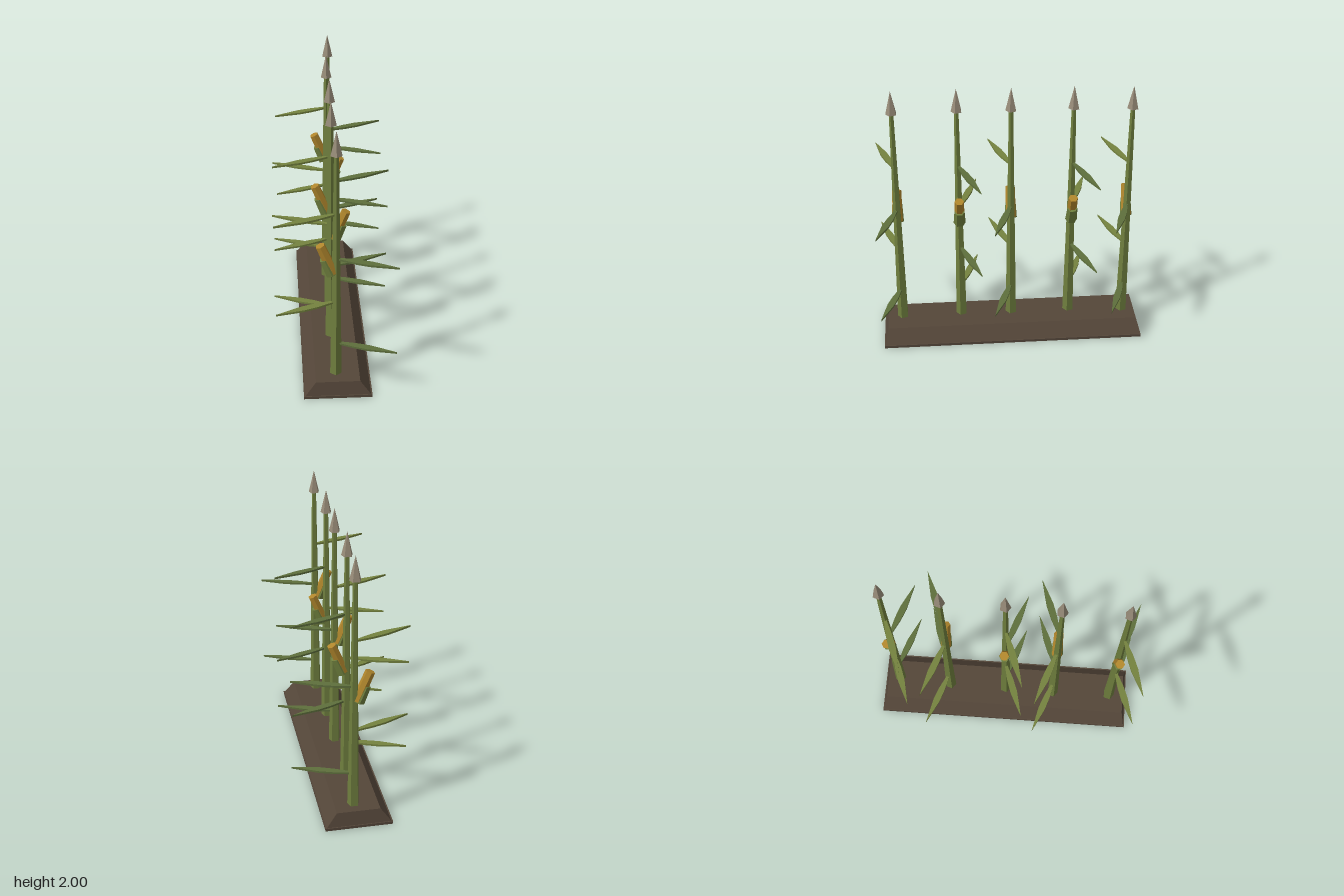
import * as THREE from 'three';

const mat = (name, color) => Object.assign(new THREE.MeshStandardMaterial({ color, flatShading: true }), { name });
const soil = mat('soil', 0x544639);
const stalkGreen = mat('stalk green', 0x6f7f3e);
const leafLight = mat('light leaf green', 0x74823f);
const leafDark = mat('dark leaf green', 0x5e6f3c);
const gold = mat('kernel gold', 0xb0862c);
const tan = mat('tassel tan', 0x978b78);

function add(parent, name, geometry, material, x = 0, y = 0, z = 0) {
  const mesh = new THREE.Mesh(geometry, material);
  mesh.name = name;
  mesh.position.set(x, y, z);
  parent.add(mesh);
  return mesh;
}

// Flat pointed blade lying along +x, centred on its thickness
function leafGeometry() {
  const half = [[0, 0.007], [0.14, 0.023], [0.24, 0.025], [0.33, 0.014], [0.435, 0]];
  const outline = [...half.map(([x, w]) => [x, -w]), ...half.slice(0, -1).reverse()];
  const shape = new THREE.Shape(outline.map(([x, y]) => new THREE.Vector2(x, y)));
  return new THREE.ExtrudeGeometry(shape, { depth: 0.014, bevelEnabled: false })
    .translate(0, 0, -0.007)
    .rotateX(-Math.PI / 2);
}

// Box whose top face is pulled inwards
function moundGeometry() {
  const g = new THREE.BoxGeometry(0.46, 0.1, 1.935);
  const p = g.attributes.position;
  for (let i = 0; i < p.count; i++) {
    if (p.getY(i) > 0) p.setXYZ(i, Math.sign(p.getX(i)) * 0.155, p.getY(i), Math.sign(p.getZ(i)) * 0.945);
  }
  g.computeVertexNormals();
  return g;
}

export function createModel() {
  const model = new THREE.Group();
  model.name = 'cornRow';

  // Soil bed
  add(model, 'bedLip', new THREE.BoxGeometry(0.48, 0.02, 1.95), soil, 0, 0.01, 0);
  add(model, 'bedMound', moundGeometry(), soil, 0, 0.07, 0);

  const stalk = new THREE.CylinderGeometry(0.017, 0.043, 1.74, 5);
  const tassel = new THREE.ConeGeometry(0.041, 0.17, 5);
  const leaf = leafGeometry();
  const cob = new THREE.CylinderGeometry(0.034, 0.037, 0.23, 6);
  const husk = new THREE.CylinderGeometry(0.037, 0.044, 0.13, 6);

  const spots = [[0.02, -0.85], [-0.01, -0.44], [-0.01, 0], [-0.02, 0.38], [-0.01, 0.83]];
  spots.forEach(([x, z], i) => {
    const plant = new THREE.Group();
    plant.name = `plant${i + 1}`;
    plant.position.set(x, 0, z);
    model.add(plant);
    const turn = i % 2 ? -1 : 1;

    add(plant, 'stalk', stalk, stalkGreen, 0, 0.97, 0);
    add(plant, 'tassel', tassel, tan, 0, 1.915, 0);

    // Leaves alternate sides up the stalk
    [0.375, 0.718, 1.06, 1.4].forEach((y, level) => {
      const left = (level + i) % 2 === 0;
      const blade = add(plant, 'leaf', leaf, left ? leafDark : leafLight, 0, y, 0);
      blade.rotation.y = left ? -turn * 0.34 : Math.PI + turn * 0.34;
    });

    // Ear leaning outwards, its husk on the outer side
    const ear = new THREE.Group();
    ear.name = 'ear';
    ear.position.set(-turn * 0.062, 1.06, 0);
    ear.rotation.z = turn * 0.4;
    add(ear, 'cob', cob, gold);
    add(ear, 'husk', husk, stalkGreen, -turn * 0.013, -0.055, 0);
    plant.add(ear);
  });
  return model;
}
